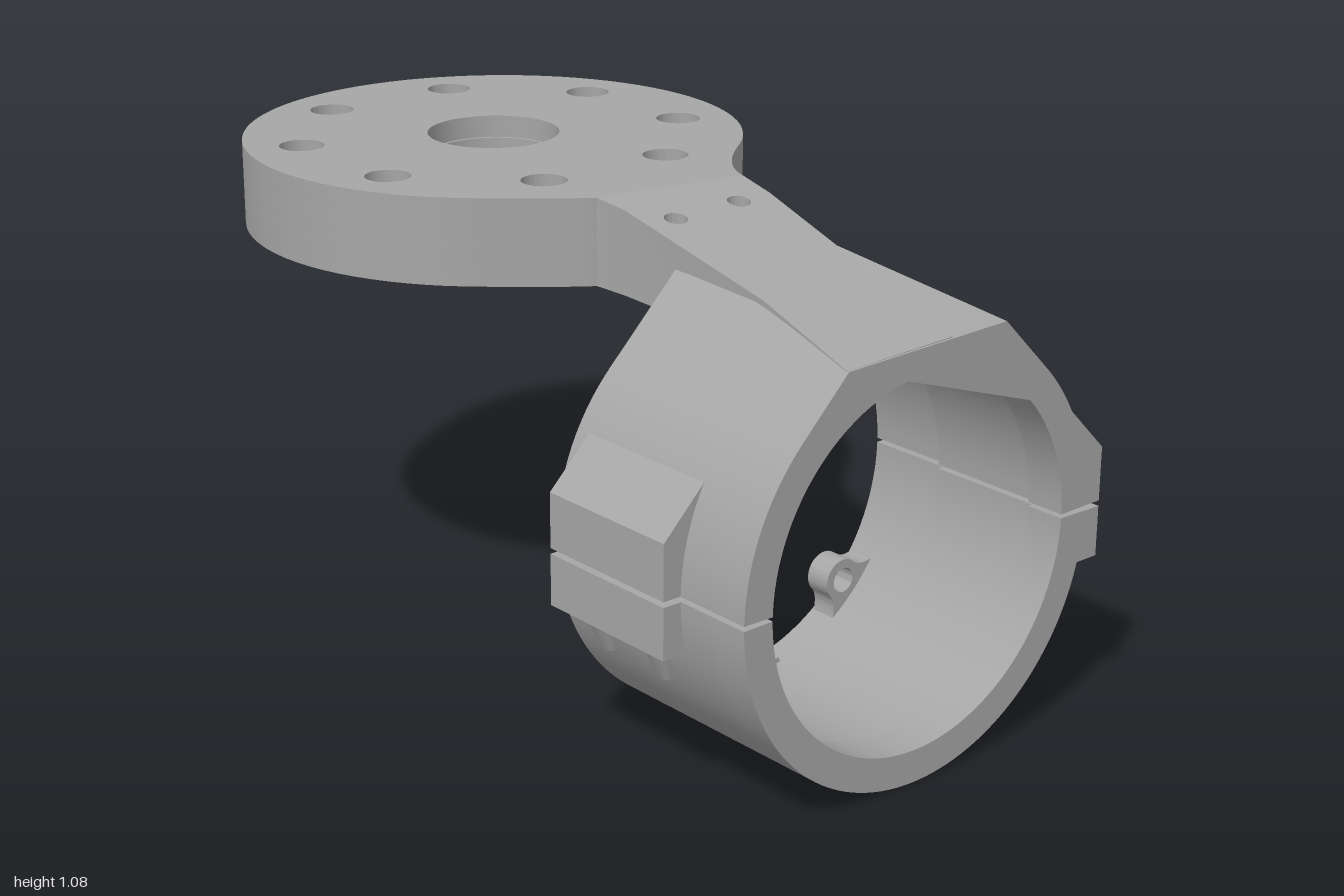
import * as THREE from 'three';
import { toCreasedNormals } from 'three/addons/utils/BufferGeometryUtils.js';

const grey = new THREE.MeshStandardMaterial({ color: 0xa6a6a6 });
grey.name = 'light grey';

const OUT = 0.472; // clamp outer radius
const CLAMP = { x: 0.142, y: 0.48, z: 0.918, turn: Math.PI / 18 };
const slopeTop = z => 1.085 - Math.max(0, z - 0.16) * 0.196; // height of the neck's top

function add(parent, name, geometry) {
  const mesh = new THREE.Mesh(toCreasedNormals(geometry, 0.5), grey);
  mesh.name = name;
  parent.add(mesh);
  return mesh;
}

function extrude(shape, depth, curveSegments = 24) {
  return new THREE.ExtrudeGeometry(shape, { depth, bevelEnabled: false, curveSegments });
}

// Extrudes a plan (x, -z) upwards between two heights
function slab(shape, y0, y1, segs) {
  return extrude(shape, y1 - y0, segs).rotateX(-Math.PI / 2).translate(0, y0, 0);
}

function hole(shape, x, y, r) {
  shape.holes.push(new THREE.Path().absarc(x, y, r, 0, Math.PI * 2, true));
}

function polygon(points) {
  return new THREE.Shape(points.map(p => new THREE.Vector2(...p)));
}

// Round plate with concave fillets running into the neck
function plateOutline() {
  const rad = Math.PI / 180, s = new THREE.Shape();
  s.moveTo(0.19, -0.16);
  s.quadraticCurveTo(0.2, -0.06, 0.328, 0.073);
  s.absarc(-0.095, 0.44, 0.56, -41 * rad, 237 * rad, false);
  s.quadraticCurveTo(-0.24, -0.13, -0.165, -0.16);
  return s;
}

function buildPlate(root) {
  const layers = [ // y0, y1, centre hole, bolt holes
    ['plateTop', 1.035, 1.085, 0.148, 0.05],
    ['plateFloor', 0.98, 1.035, 0.14, 0.03],
  ];
  for (const [name, y0, y1, centre, bolt] of layers) {
    const s = plateOutline();
    hole(s, -0.095, 0.44, centre);
    for (let i = 0; i < 8; i++) {
      const a = (77 + i * 45) * Math.PI / 180;
      hole(s, -0.095 + 0.435 * Math.cos(a), 0.44 + 0.435 * Math.sin(a), bolt);
    }
    add(root, name, slab(s, y0, y1, 32));
  }
  const rim = plateOutline();
  hole(rim, -0.095, 0.44, 0.505);
  add(root, 'plateRim', slab(rim, 0.895, 0.98, 32));
  const collar = new THREE.Shape().absarc(-0.095, 0.44, 0.17, 0, Math.PI * 2, false);
  hole(collar, -0.095, 0.44, 0.14);
  add(root, 'centreCollar', slab(collar, 0.955, 0.98));
}

// Sloping neck between plate and clamp
function buildNeck(root) {
  const s = polygon([[-0.165, -0.16], [-0.138, -0.23], [-0.075, -0.66], [-0.075, -0.952],
    [0.2, -0.904], [0.2, -0.25], [0.19, -0.16]]);
  hole(s, -0.055, -0.295, 0.025);
  hole(s, 0.115, -0.265, 0.025);
  const g = slab(s, 0, 1), p = g.attributes.position;
  for (let i = 0; i < p.count; i++) {
    const z = p.getZ(i);
    p.setY(i, p.getY(i) > 0.5 ? slopeTop(z) : Math.max(0.883, 0.895 - (z - 0.16) * 0.08));
  }
  add(root, 'neck', g);
}

// Upper clamp half: arch with 45 degree shoulders meeting the sloping top
function upperHalf(bore, z0, z1) {
  const e = 0.011, q = Math.PI / 4, s = new THREE.Shape();
  s.absarc(0, 0, OUT, e, q, false);
  s.lineTo(0.067, 0.6);
  s.lineTo(-0.067, 0.6);
  s.absarc(0, 0, OUT, 3 * q, Math.PI - e, false);
  s.absarc(0, 0, bore, Math.PI - e, e, true);
  s.closePath();
  const g = extrude(s, z1 - z0).translate(0, 0, z0), p = g.attributes.position;
  for (let i = 0; i < p.count; i++) {
    if (p.getY(i) < 0.59) continue;
    const side = Math.sign(p.getX(i));
    const worldZ = CLAMP.z + 0.985 * p.getZ(i) - 0.174 * side * 0.16;
    let h = slopeTop(worldZ) - CLAMP.y - 0.002;
    if (side < 0) h = Math.min(h, 0.505);
    p.setXY(i, side * (OUT * Math.SQRT2 - h), h);
  }
  return g;
}

function lowerHalf(bore, z0, z1) {
  const e = 0.011, s = new THREE.Shape();
  s.absarc(0, 0, OUT, Math.PI + e, 2 * Math.PI - e, false);
  s.absarc(0, 0, bore, 2 * Math.PI - e, Math.PI + e, true);
  s.closePath();
  return extrude(s, z1 - z0, 40).translate(0, 0, z0);
}

// Bolting flanges on one side of the clamp
function buildFlange(clamp, side, z0, z1) {
  const shapes = {
    upperFlange: [[0.44, 0.006], [0.515, 0.006], [0.515, 0.125], [0.415, 0.225]],
    lowerFlange: [[0.44, -0.006], [0.43, -0.117], [0.515, -0.117], [0.515, -0.006]],
  };
  for (const [name, pts] of Object.entries(shapes)) {
    const s = polygon(pts.map(([x, y]) => [x * side, y]));
    add(clamp, name, extrude(s, z1 - z0).translate(0, 0, z0));
  }
  // tapered bolt seats under the flange
  for (const t of [0.25, 0.75]) {
    const seat = add(clamp, 'boltSeat', new THREE.CylinderGeometry(0.034, 0.018, 0.09, 16));
    seat.position.set(side * 0.442, -0.158, z0 + (z1 - z0) * t);
    seat.rotation.z = -side * 0.3;
  }
}

// Screw eyes at the back of the bore, flared into the wall
function buildEyes(clamp) {
  for (let i = 0; i < 4; i++) {
    const s = new THREE.Shape();
    s.moveTo(0.436, -0.11);
    s.lineTo(0.436, 0.11);
    s.quadraticCurveTo(0.41, 0.05, 0.38, 0.047);
    s.absarc(0.38, 0, 0.047, Math.PI / 2, Math.PI * 1.5, false);
    s.quadraticCurveTo(0.41, -0.05, 0.436, -0.11);
    hole(s, 0.382, 0, 0.028);
    const eye = add(clamp, 'screwEye', extrude(s, 0.06).translate(0, 0, -0.555));
    eye.rotation.z = Math.PI / 4 + i * Math.PI / 2;
  }
  // one screw left in its eye
  const screw = new THREE.Group();
  screw.name = 'screw';
  const head = add(screw, 'screwHead', new THREE.CylinderGeometry(0.045, 0.045, 0.05, 24));
  head.position.z = -0.575;
  const shaft = add(screw, 'screwShaft', new THREE.CylinderGeometry(0.026, 0.026, 0.14, 20));
  shaft.position.z = -0.49;
  head.rotation.x = shaft.rotation.x = Math.PI / 2;
  screw.position.set(-0.27, 0.27, 0);
  clamp.add(screw);
}

function buildClamp(root) {
  const clamp = new THREE.Group();
  clamp.name = 'ringClamp';
  clamp.position.set(CLAMP.x, CLAMP.y, CLAMP.z);
  clamp.rotation.y = CLAMP.turn;
  root.add(clamp);

  // bore widens in steps towards the back
  for (const [bore, z0, z1] of [[0.4, -0.09, 0], [0.412, -0.36, -0.09], [0.427, -0.56, -0.36]]) {
    add(clamp, 'upperClampHalf', upperHalf(bore, z0, z1));
    add(clamp, 'lowerClampHalf', lowerHalf(bore, z0, z1));
  }
  buildFlange(clamp, 1, -0.35, 0);
  buildFlange(clamp, -1, -0.525, -0.18);
  buildEyes(clamp);

  // tab at the bottom of the back edge
  const a = Math.PI * 1.5, tab = new THREE.Shape();
  tab.absarc(0, 0, OUT, a - 0.26, a + 0.26, false);
  tab.absarc(0, 0, 0.415, a + 0.22, a - 0.22, true);
  tab.closePath();
  add(clamp, 'bottomTab', extrude(tab, 0.1).translate(0, 0, -0.605));
}

export function createModel() {
  const root = new THREE.Group();
  root.name = 'clampBracket';
  buildPlate(root);
  buildNeck(root);
  buildClamp(root);
  return root;
}
